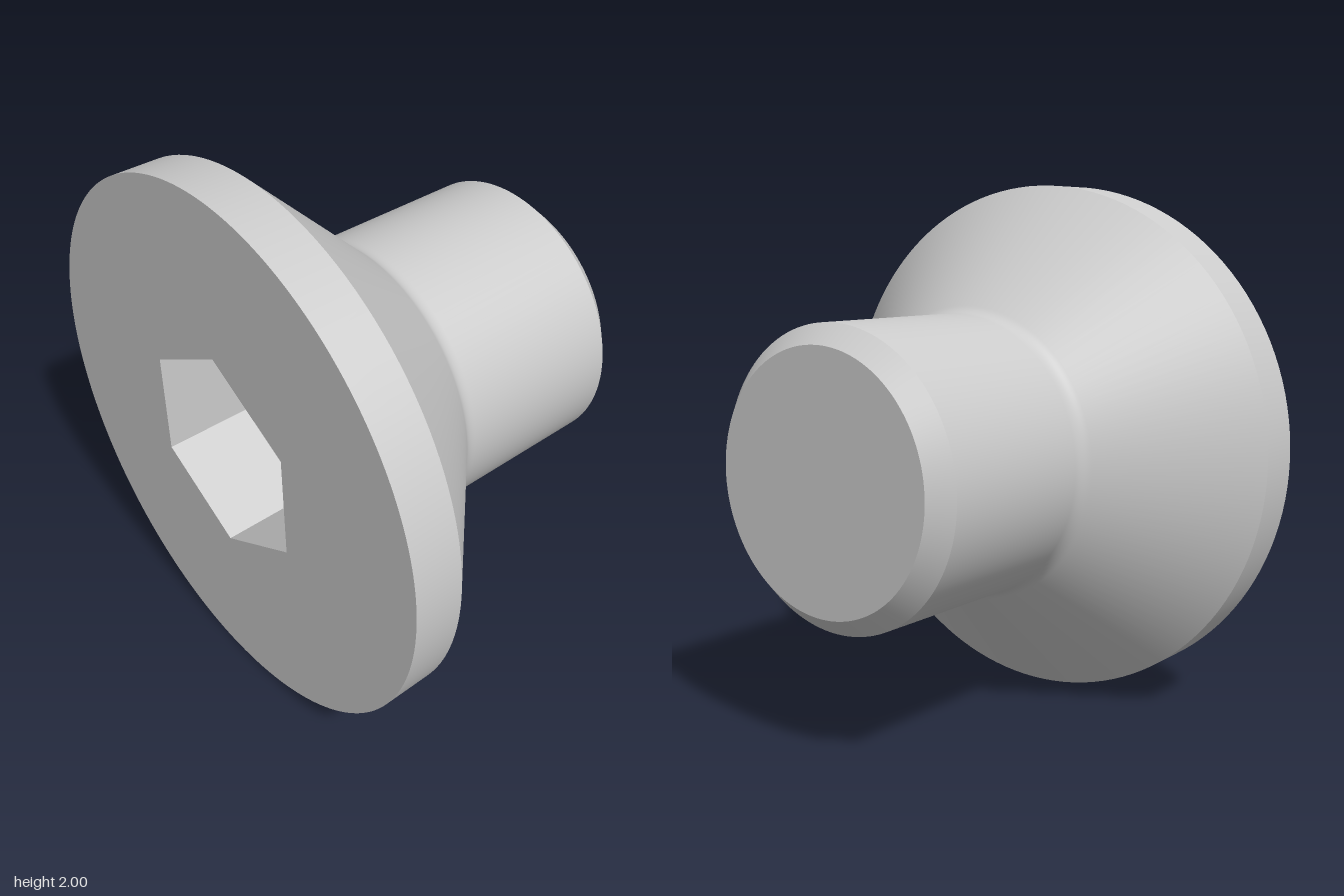
import * as THREE from 'three';

const material = new THREE.MeshStandardMaterial({ color: 0xcccccc });
const SEGMENTS = 128;

// Main dimensions along the screw axis (x) and radii
const X0 = -0.707, X1 = 0.707;
const HEAD_R = 1, RIM_X = -0.525;
const SHANK_R = 0.527, CHAMFER_X = 0.635, TIP_R = 0.458;
const HEX_R = 0.406, HEX_FLOOR_X = -0.32;

export function createModel() {
  const group = new THREE.Group();
  group.name = 'countersunkScrew';
  group.position.y = 1;

  const add = (name, geometry) => {
    const mesh = new THREE.Mesh(geometry, material);
    mesh.name = name;
    group.add(mesh);
  };

  // Revolve [x, radius] pairs about the x axis
  const revolve = (points, segments = SEGMENTS, start = 0) =>
    new THREE.LatheGeometry(points.map(([x, r]) => new THREE.Vector2(r, x)), segments, start)
      .rotateZ(-Math.PI / 2);

  // Cylindrical edge of the head
  add('headRim', revolve([[X0, HEAD_R], [RIM_X, HEAD_R]]));

  // 45 degree cone blending through a small fillet into the shank
  const fillet = 0.08;
  const tangent = fillet * Math.tan(Math.PI / 8);
  const cornerX = RIM_X + HEAD_R - SHANK_R;
  const profile = [[RIM_X, HEAD_R], [cornerX - tangent, SHANK_R + tangent]];
  for (let i = 0; i <= 8; i++) {
    const a = Math.PI * (1.25 + 0.25 * i / 8);
    profile.push([
      cornerX + tangent + fillet * Math.cos(a),
      SHANK_R + fillet + fillet * Math.sin(a),
    ]);
  }
  // Keep the long cone straight up to the fillet
  profile[1] = [profile[2][0] - 0.004, profile[2][1] + 0.004];
  profile.push([cornerX + tangent + 0.004, SHANK_R], [CHAMFER_X, SHANK_R]);
  add('coneAndShank', revolve(profile));

  // Chamfered tip
  add('tipChamfer', revolve([[CHAMFER_X, SHANK_R], [X1, TIP_R]]));
  add('tipFace', revolve([[X1, TIP_R], [X1, 0]]));

  // Flat head face with a hexagonal opening
  const face = new THREE.Shape().absarc(0, 0, HEAD_R, 0, Math.PI * 2);
  const hex = [];
  for (let i = 0; i < 6; i++) {
    const a = Math.PI / 2 - i * Math.PI / 3;
    hex.push(new THREE.Vector2(HEX_R * Math.cos(a), HEX_R * Math.sin(a)));
  }
  face.holes.push(new THREE.Path(hex));
  add('headFace', new THREE.ShapeGeometry(face, SEGMENTS).rotateY(-Math.PI / 2).translate(X0, 0, 0));

  // Socket floor and inward-facing flat walls
  const socket = revolve([[HEX_FLOOR_X, 0], [HEX_FLOOR_X, HEX_R], [X0, HEX_R]], 6, Math.PI / 2)
    .toNonIndexed();
  socket.computeVertexNormals();
  add('hexSocket', socket);

  return group;
}
